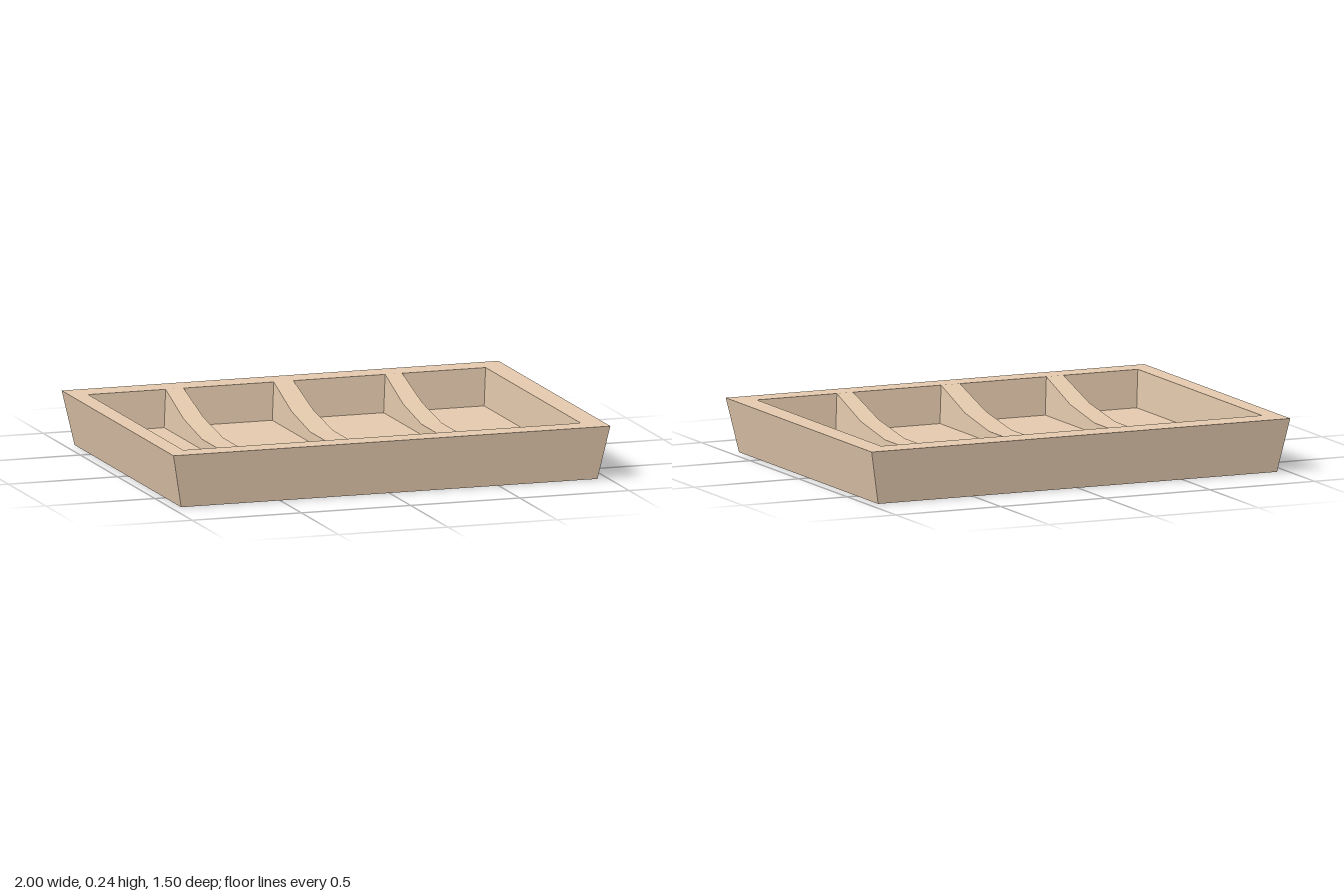
import * as THREE from 'three';

const HEIGHT = 0.237, FLOOR = 0.07, DRAFT = 0.06;
const CAVITY = { x0: -0.92, x1: 0.9, z0: -0.63, z1: 0.645 };

// Skins a series of four-point rings with quads and caps both ends.
function loft(rings) {
  const positions = [], index = [];
  rings.forEach(ring => ring.forEach(p => positions.push(...p)));
  for (let r = 0; r < rings.length - 1; r++) {
    for (let i = 0; i < 4; i++) {
      const a = r * 4 + i, b = r * 4 + (i + 1) % 4;
      index.push(a, a + 4, b + 4, a, b + 4, b);
    }
  }
  const e = (rings.length - 1) * 4;
  index.push(0, 1, 2, 0, 2, 3, e, e + 2, e + 1, e, e + 3, e + 2);
  const indexed = new THREE.BufferGeometry();
  indexed.setAttribute('position', new THREE.Float32BufferAttribute(positions, 3));
  indexed.setIndex(index);
  const geometry = indexed.toNonIndexed();
  geometry.computeVertexNormals();
  return geometry;
}

const rect = (x0, x1, z0, z1, y) => [[x0, y, z0], [x1, y, z0], [x1, y, z1], [x0, y, z1]];

// A compartment wall whose top sags in a faceted arc between the end rims.
function divider(x0, x1) {
  const segments = 5, sag = 0.122, rings = [];
  for (let i = 0; i <= segments; i++) {
    const t = (i / segments) * 2 - 1;
    const z = THREE.MathUtils.lerp(CAVITY.z0, CAVITY.z1, i / segments);
    const top = HEIGHT - sag * (1 - t * t) / 0.96;
    const spread = DRAFT * (HEIGHT - top), base = DRAFT * (HEIGHT - FLOOR);
    rings.push([
      [x0 - base, FLOOR, z], [x0 - spread, top, z],
      [x1 + spread, top, z], [x1 + base, FLOOR, z],
    ]);
  }
  return loft(rings);
}

export function createModel() {
  const group = new THREE.Group();
  group.name = 'compartmentTray';
  const material = new THREE.MeshStandardMaterial({ color: 0xe2c8ac });
  const add = (name, geometry) => {
    const mesh = new THREE.Mesh(geometry, material);
    mesh.name = name;
    group.add(mesh);
  };

  // Tapered outer walls, flat rim, drafted inner walls and floor
  const { x0, x1, z0, z1 } = CAVITY, inset = DRAFT * (HEIGHT - FLOOR);
  add('trayShell', loft([
    rect(-0.953, 0.953, -0.715, 0.715, 0),
    rect(-1, 1, -0.75, 0.75, HEIGHT),
    rect(x0, x1, z0, z1, HEIGHT),
    rect(x0 + inset, x1 - inset, z0 + inset, z1 - inset, FLOOR),
  ]));

  // Three dividers make four compartments
  [[-0.565, -0.483], [-0.07, 0.02], [0.44, 0.518]].forEach(([a, b], i) => {
    add(`divider${i + 1}`, divider(a, b));
  });
  return group;
}
